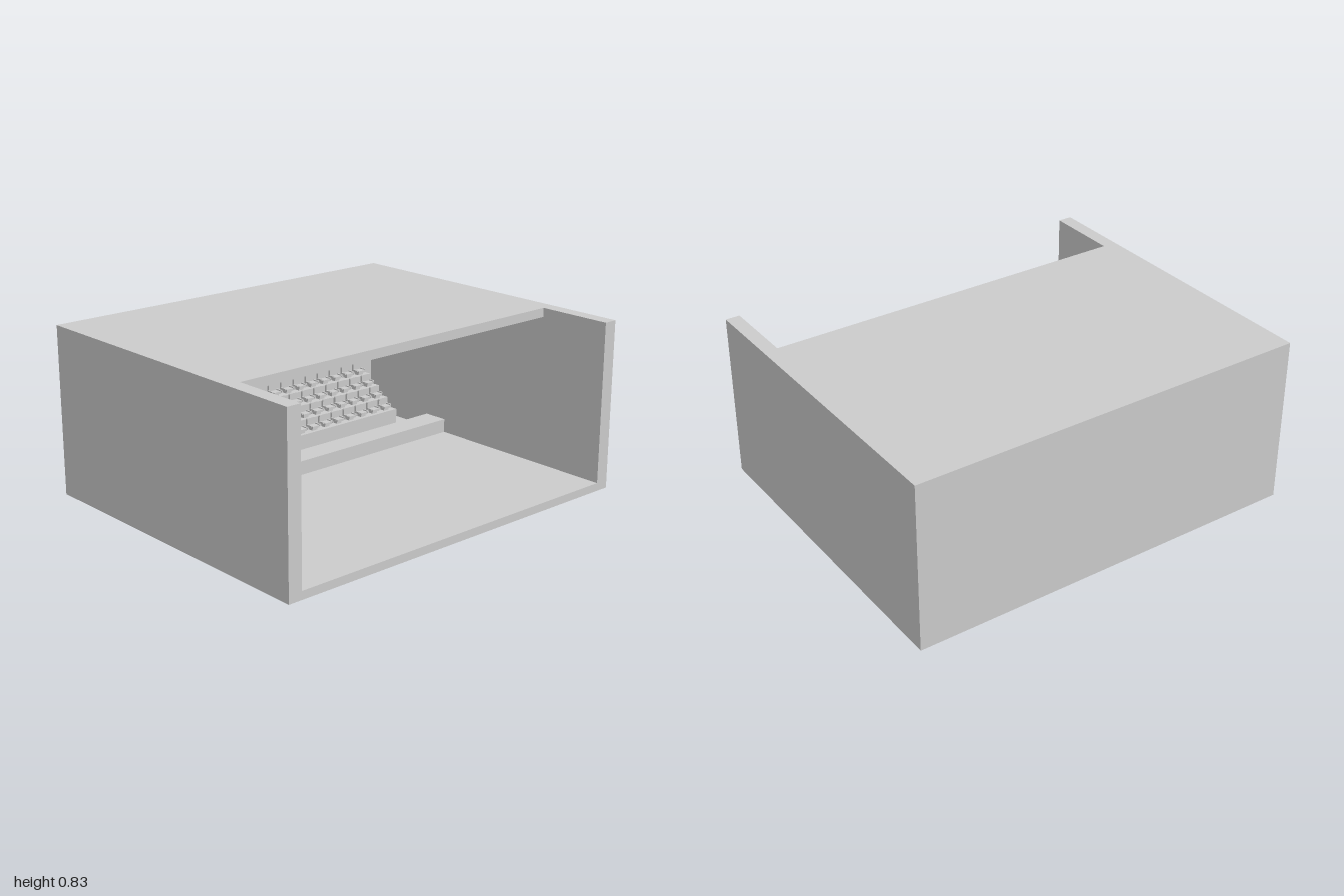
import * as THREE from 'three';
import { mergeGeometries } from 'three/addons/utils/BufferGeometryUtils.js';

const material = new THREE.MeshStandardMaterial({ color: 0xcccccc, flatShading: true });

const HALF_W = 1, HALF_D = 0.83, HEIGHT = 0.835;
const INNER_W = 0.93, INNER_BACK = -0.77, FLOOR = 0.04;
const ROWS = 5, SEATS = 18, RISE = 0.05, TREAD = 0.068, FIRST_TIER = 0.14, TIER_FRONT = -0.43;

// Box given by its minimum and maximum corners
function boxGeo(x0, y0, z0, x1, y1, z1) {
  return new THREE.BoxGeometry(x1 - x0, y1 - y0, z1 - z0)
    .translate((x0 + x1) / 2, (y0 + y1) / 2, (z0 + z1) / 2);
}

function add(parent, name, geometry) {
  const mesh = new THREE.Mesh(geometry, material);
  mesh.name = name;
  parent.add(mesh);
  return mesh;
}

// U-shaped plan of the back and side walls, raised to full height
function wallsGeo() {
  const plan = new THREE.Shape([
    [-HALF_W, -HALF_D], [-INNER_W, -HALF_D], [-INNER_W, -INNER_BACK], [INNER_W, -INNER_BACK],
    [INNER_W, -HALF_D], [HALF_W, -HALF_D], [HALF_W, HALF_D], [-HALF_W, HALF_D],
  ].map(([x, y]) => new THREE.Vector2(x, y)));
  return new THREE.ExtrudeGeometry(plan, { depth: HEIGHT, bevelEnabled: false }).rotateX(-Math.PI / 2);
}

// Stepped side profile swept across the hall
function tiersGeo(x0, x1) {
  const profile = new THREE.Shape();
  profile.moveTo(-TIER_FRONT, FLOOR);
  profile.lineTo(-INNER_BACK, FLOOR);
  profile.lineTo(-INNER_BACK, FIRST_TIER + (ROWS - 1) * RISE);
  for (let i = ROWS - 1; i >= 0; i--) {
    const z = -TIER_FRONT + i * TREAD;
    profile.lineTo(z, FIRST_TIER + i * RISE);
    if (i > 0) profile.lineTo(z, FIRST_TIER + (i - 1) * RISE);
  }
  return new THREE.ExtrudeGeometry(profile, { depth: x1 - x0, bevelEnabled: false })
    .rotateY(Math.PI / 2).translate(x0, 0, 0);
}

// Theatre seat: round-topped back, cushion, plinth and two armrests; origin at its foot
function seatGeo() {
  const w = 0.027, h = 0.06, r = 0.012;
  const back = new THREE.Shape();
  back.moveTo(-w + 0.004, 0);
  back.lineTo(w - 0.004, 0);
  back.lineTo(w, 0.02);
  back.lineTo(w, h - r);
  back.quadraticCurveTo(w, h, w - r, h);
  back.lineTo(-w + r, h);
  back.quadraticCurveTo(-w, h, -w, h - r);
  back.lineTo(-w, 0.02);
  const parts = [
    new THREE.ExtrudeGeometry(back, { depth: 0.012, bevelEnabled: false, curveSegments: 3 })
      .translate(0, 0, -0.026),
    boxGeo(-0.022, 0.012, -0.014, 0.022, 0.024, 0.024),
    boxGeo(-0.016, 0, -0.014, 0.016, 0.012, 0.014),
  ];
  for (const s of [-1, 1]) {
    parts.push(boxGeo(s * 0.027 - 0.004, 0.022, -0.016, s * 0.027 + 0.004, 0.029, 0.018));
  }
  return mergeGeometries(parts.map((g) => (g.index ? g.toNonIndexed() : g)));
}

export function createModel() {
  const hall = new THREE.Group();
  hall.name = 'auditorium';

  // Building shell, open at the front
  add(hall, 'walls', wallsGeo());
  add(hall, 'floor', boxGeo(-INNER_W, 0, INNER_BACK, INNER_W, FLOOR, HALF_D));
  add(hall, 'roof', boxGeo(-INNER_W, 0.79, INNER_BACK, INNER_W, HEIGHT, 0.45));

  // Low barrier between the stage floor and the seating
  add(hall, 'barrier', boxGeo(-INNER_W, FLOOR, -0.33, INNER_W, 0.11, -0.2));

  // Stepped seating
  add(hall, 'tiers', tiersGeo(-0.74, 0.8));
  const seat = seatGeo();
  for (let row = 0; row < ROWS; row++) {
    const group = new THREE.Group();
    group.name = `seatRow${row + 1}`;
    group.position.set(0, FIRST_TIER + row * RISE, TIER_FRONT - (row + 0.5) * TREAD);
    for (let i = 0; i < SEATS; i++) {
      add(group, 'seat', seat).position.x = -0.673 + i * 0.0835;
    }
    hall.add(group);
  }
  return hall;
}
